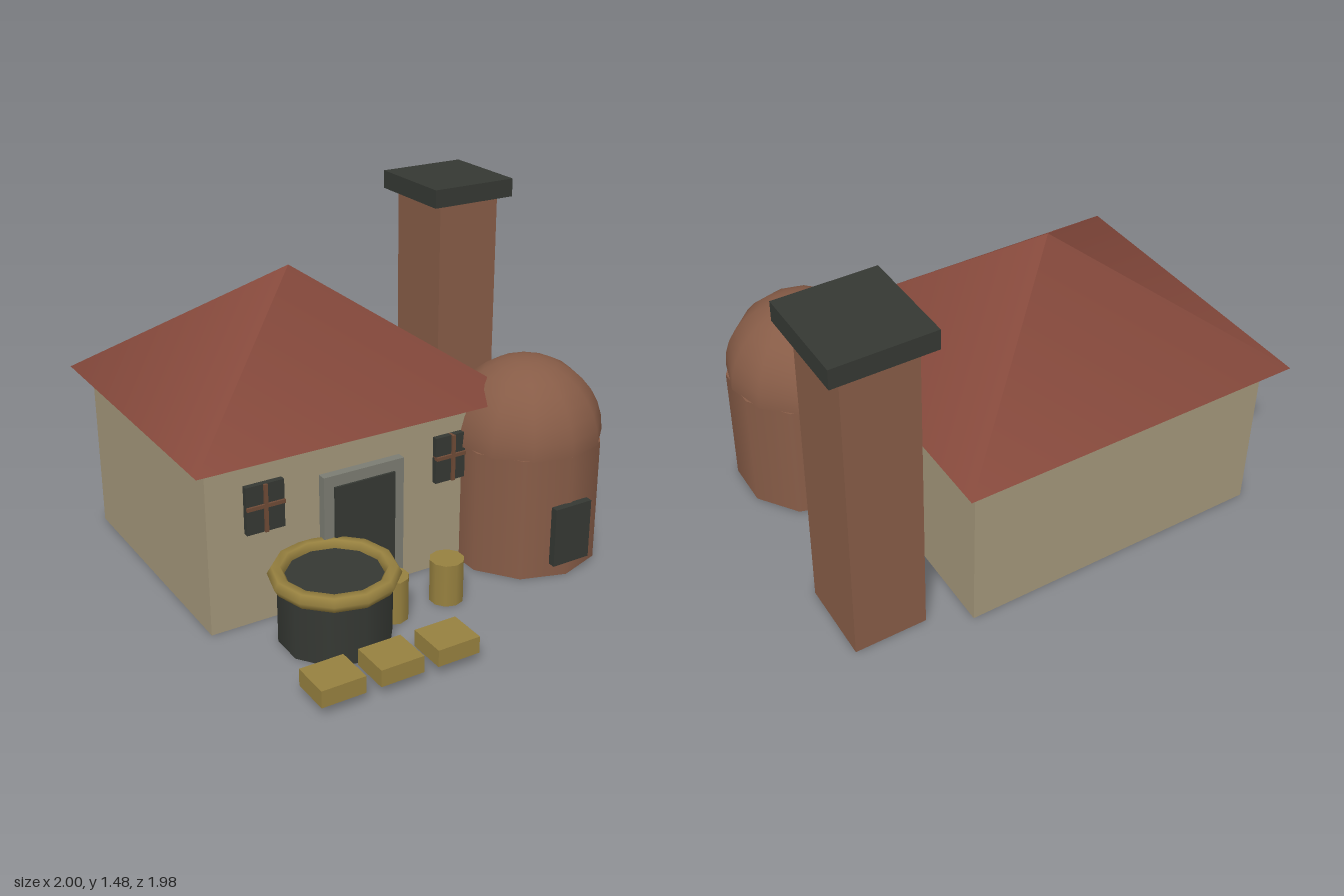
import * as THREE from 'three';

const mat = (color) => new THREE.MeshStandardMaterial({ color });

export function createModel() {
  const root = new THREE.Group();
  const wall = mat(0xa3967a), tile = mat(0x84483b), clay = mat(0x875c47);
  const dark = mat(0x353833), stone = mat(0x7b7c72), wood = mat(0x96803f), trim = mat(0x6e4a36);

  const add = (parent, name, geometry, material, x, y, z) => {
    const mesh = new THREE.Mesh(geometry, material);
    mesh.name = name;
    mesh.position.set(x, y, z);
    parent.add(mesh);
    return mesh;
  };
  const group = (name) => {
    const g = new THREE.Group();
    g.name = name;
    root.add(g);
    return g;
  };
  // box given by its limits on each axis
  const box = (parent, name, material, [x0, x1], [y0, y1], [z0, z1]) =>
    add(parent, name, new THREE.BoxGeometry(x1 - x0, y1 - y0, z1 - z0), material,
      (x0 + x1) / 2, (y0 + y1) / 2, (z0 + z1) / 2);

  // house with a four-sided roof
  const house = group('house');
  const cx = -0.2375, front = 0.27;
  box(house, 'walls', wall, [-0.93, 0.455], [0, 0.755], [-0.9, front]);
  const roof = new THREE.ConeGeometry(Math.SQRT1_2, 0.535, 4);
  roof.rotateY(Math.PI / 4).scale(1.525, 1, 1.35);
  add(house, 'roof', roof, tile, cx, 1.0175, -0.315);

  // door and its surround
  box(house, 'doorFrame', stone, [cx - 0.19, cx + 0.19], [0.025, 0.59], [front - 0.01, front + 0.04]);
  box(house, 'door', dark, [cx - 0.143, cx + 0.143], [0.03, 0.54], [front, front + 0.05]);

  // windows on both sides of the door
  for (const side of [-1, 1]) {
    const x = cx + side * 0.445;
    const win = group(side < 0 ? 'rightWindow' : 'leftWindow');
    box(win, 'pane', dark, [x - 0.085, x + 0.085], [0.417, 0.627], [front - 0.01, front + 0.025]);
    box(win, 'verticalBar', trim, [x - 0.008, x + 0.008], [0.417, 0.627], [front, front + 0.035]);
    box(win, 'horizontalBar', trim, [x - 0.085, x + 0.085], [0.525, 0.541], [front, front + 0.035]);
  }

  // free-standing chimney
  const chimney = group('chimney');
  box(chimney, 'stack', clay, [0.625, 0.942], [0, 1.39], [-0.81, -0.45]);
  box(chimney, 'cap', dark, [0.572, 1], [1.39, 1.475], [-0.857, -0.411]);

  // domed oven
  const oven = group('oven');
  add(oven, 'ovenBody', new THREE.CylinderGeometry(0.34, 0.34, 0.56, 10), clay, 0.593, 0.28, 0.282);
  add(oven, 'ovenDome', new THREE.SphereGeometry(0.34, 12, 8, 0, Math.PI * 2, 0, Math.PI / 2),
    clay, 0.593, 0.557, 0.282).material = Object.assign(mat(0x875c47), { side: THREE.DoubleSide });
  box(oven, 'ovenDoor', dark, [0.5, 0.686], [0.075, 0.345], [0.615, 0.648]);

  // cauldron with a rolled rim
  const pot = group('cauldron');
  add(pot, 'potBody', new THREE.CylinderGeometry(0.235, 0.235, 0.28, 10), dark, -0.497, 0.14, 0.517);
  add(pot, 'potRim', new THREE.TorusGeometry(0.233, 0.035, 6, 12).rotateX(Math.PI / 2), wood, -0.497, 0.28, 0.512);

  // row of stumps, the first one under the cauldron
  for (let i = 0; i < 3; i++) {
    add(root, 'stump', new THREE.CylinderGeometry(0.074, 0.074, 0.19, 10), wood, -0.5075 + i * 0.2725, 0.095, 0.515);
  }

  // row of blocks in front
  for (let i = 0; i < 3; i++) {
    add(root, 'block', new THREE.BoxGeometry(0.19, 0.073, 0.17), wood, -0.73 + i * 0.255, 0.084, 0.901);
  }

  return root;
}
